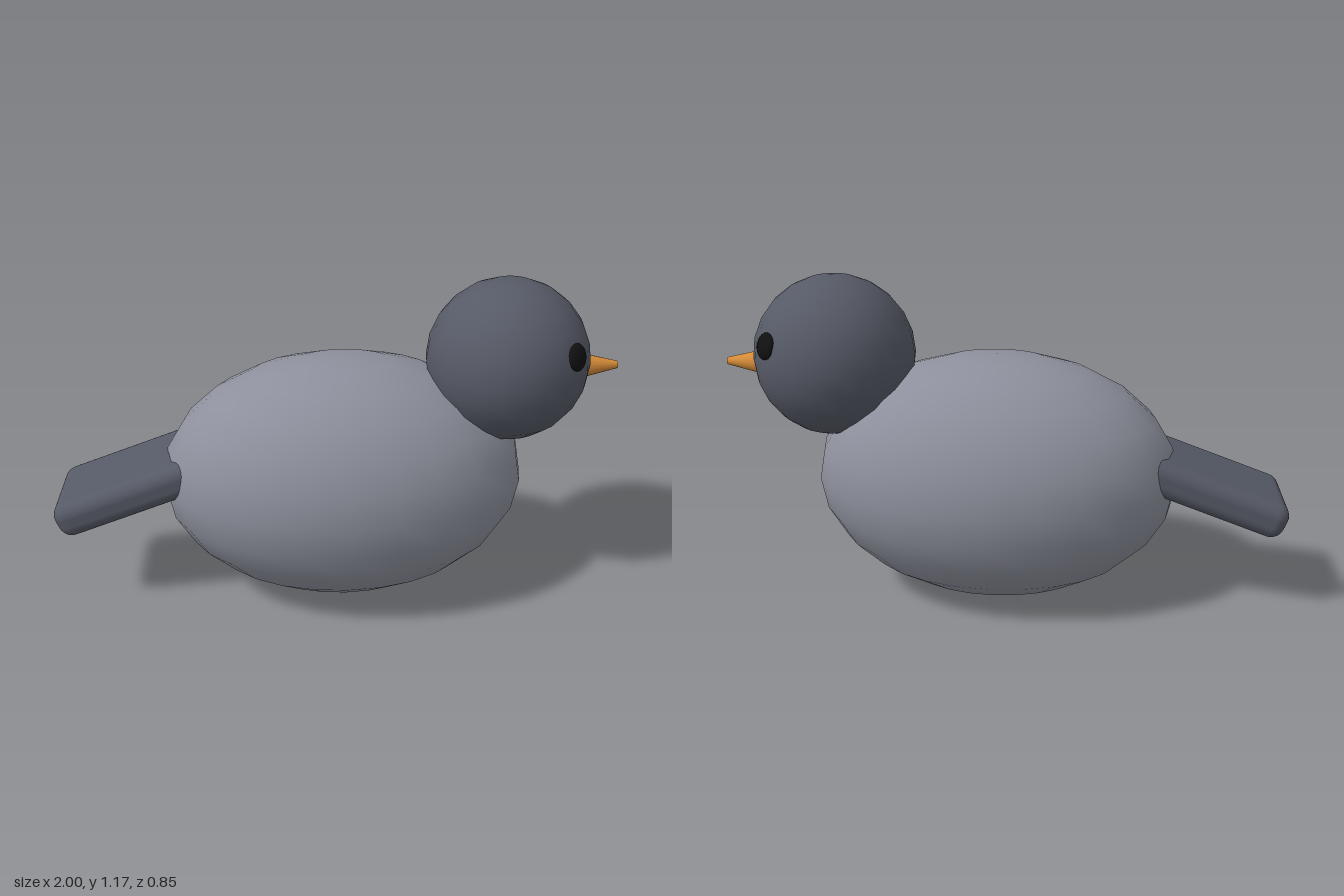
import * as THREE from 'three';
import { RoundedBoxGeometry } from 'three/addons/geometries/RoundedBoxGeometry.js';

const material = (name, color) => {
  const m = new THREE.MeshStandardMaterial({ color });
  m.name = name;
  return m;
};

export function createModel() {
  const bird = new THREE.Group();
  bird.name = 'bird';

  const bodyGrey = material('bodyGrey', 0x8d909c);
  const darkGrey = material('darkGrey', 0x565a66);
  const orange = material('beakOrange', 0xd58c38);
  const black = material('eyeBlack', 0x111111);

  const add = (name, geometry, mat, x, y, z) => {
    const mesh = new THREE.Mesh(geometry, mat);
    mesh.name = name;
    mesh.position.set(x, y, z);
    bird.add(mesh);
    return mesh;
  };

  // Egg-like body and round head
  const ball = new THREE.SphereGeometry(1, 24, 12);
  add('body', ball, bodyGrey, 0.03, 0.455, 0).scale.set(0.65, 0.45, 0.426);
  const head = add('head', new THREE.SphereGeometry(0.285, 24, 12), darkGrey, 0.605, 0.887, 0);

  // Blunt tapered beak pointing along +x
  const beak = new THREE.CylinderGeometry(0.013, 0.048, 0.145, 16);
  beak.rotateZ(-Math.PI / 2);
  add('beak', beak, orange, 0.9275, 0.853, 0);

  // Tail slab sloping down and back
  const tail = new RoundedBoxGeometry(0.6, 0.13, 0.354, 4, 0.05);
  add('tail', tail, darkGrey, -0.71, 0.452, 0).rotation.z = THREE.MathUtils.degToRad(20);

  // Flattened eyes lying on the head surface
  for (const side of [-1, 1]) {
    const out = new THREE.Vector3(0.19, 0.078, 0.193 * side).normalize();
    const p = head.position.clone().addScaledVector(out, 0.28);
    const eye = add(side > 0 ? 'leftEye' : 'rightEye', new THREE.SphereGeometry(1, 16, 12), black, p.x, p.y, p.z);
    eye.scale.set(0.047, 0.047, 0.02);
    eye.quaternion.setFromUnitVectors(new THREE.Vector3(0, 0, 1), out);
  }

  return bird;
}
